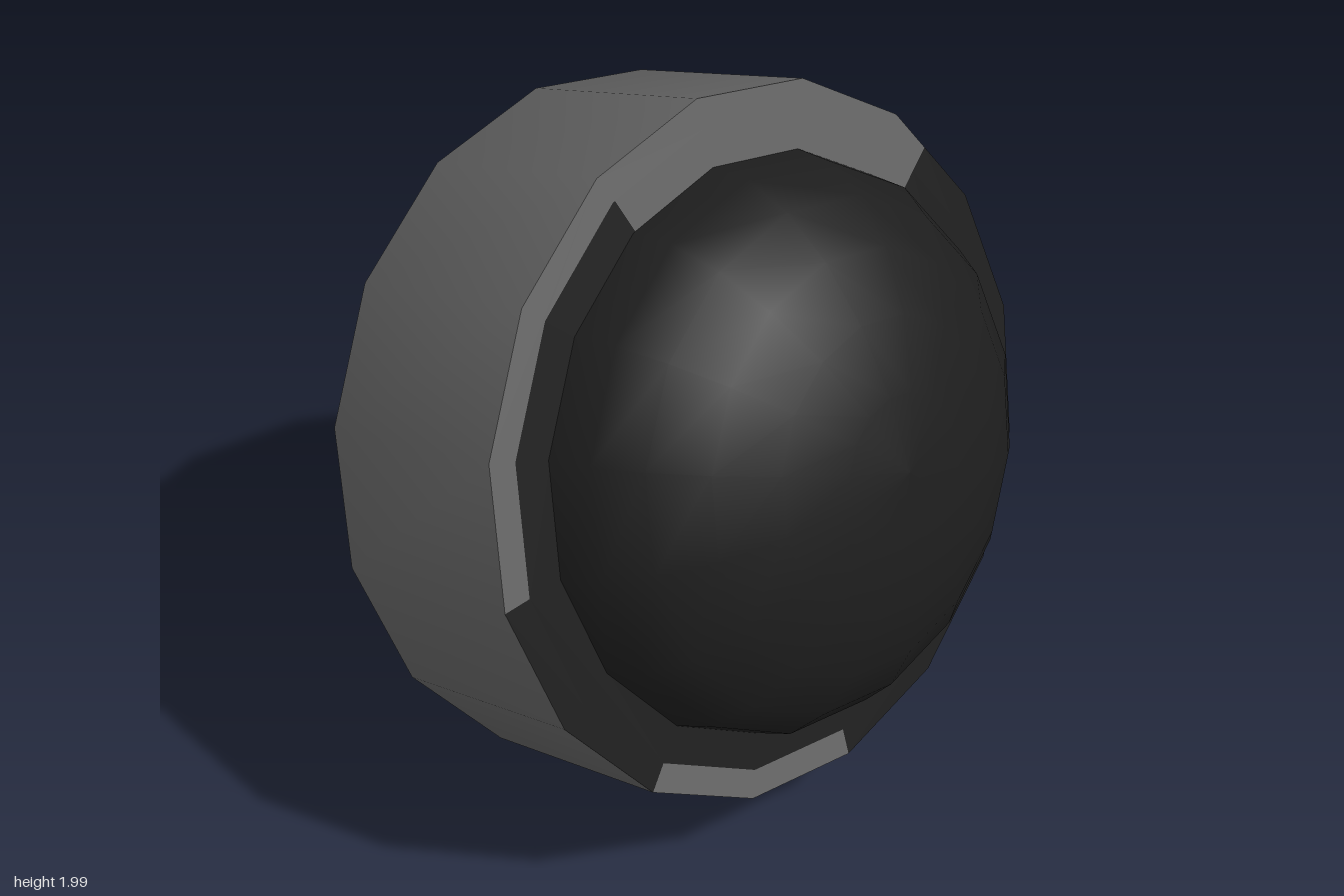
import * as THREE from 'three';

const SIDES = 16;
const STEP = (Math.PI * 2) / SIDES;
const RAD = Math.PI / 180;

export function createModel() {
  const grey = new THREE.MeshStandardMaterial({ color: 0x646464 });
  grey.name = 'casing grey';
  const dark = new THREE.MeshStandardMaterial({ color: 0x1d1d1d });
  dark.name = 'dark rubber';
  const teal = new THREE.MeshStandardMaterial({ color: 0x76b5ba });
  teal.name = 'soft teal';

  // Everything is built around the z axis, then tilted.
  const body = new THREE.Group();
  body.name = 'tiltedBody';

  // Turned part from [radius, distance along the axis] pairs.
  function turned(name, profile, material) {
    const points = profile.map(([r, a]) => new THREE.Vector2(r, a));
    const geometry = new THREE.LatheGeometry(points, SIDES);
    geometry.rotateX(Math.PI / 2);
    const mesh = new THREE.Mesh(geometry, material);
    mesh.name = name;
    body.add(mesh);
  }

  // Point on a sixteen-sided outline at any angle.
  function outline(r, angle) {
    const within = ((angle % STEP) + STEP) % STEP;
    const d = (r * Math.cos(STEP / 2)) / Math.cos(within - STEP / 2);
    return new THREE.Vector2(d * Math.cos(angle), d * Math.sin(angle));
  }

  // Flat arc of the front rim, angles in degrees.
  function rimArc(name, inner, outer, from, to, material) {
    const angles = [from * RAD];
    for (let k = Math.floor(from / 22.5) + 1; k * 22.5 < to; k++) angles.push(k * STEP);
    angles.push(to * RAD);
    const points = angles.map((t) => outline(outer, t));
    points.push(...angles.reverse().map((t) => outline(inner, t)));
    const mesh = new THREE.Mesh(new THREE.ShapeGeometry(new THREE.Shape(points)), material);
    mesh.position.z = 0.31;
    mesh.name = name;
    body.add(mesh);
  }

  // Casing, shaded smoothly round its back edge
  turned('casing', [[0.815, -0.37], [0.95, -0.31], [0.943, 0.31]], grey);

  // Back collar, recess wall and plate
  turned('backCollar', [[0.61, -0.447], [0.772, -0.447], [0.815, -0.37]], dark);
  turned('recessWall', [[0.51, -0.25], [0.61, -0.447]], dark);
  turned('backPlate', [[0, -0.25], [0.51, -0.25]], teal);

  // Front dome
  const dome = [];
  for (let i = 0; i <= 6; i++) {
    const t = (i / 6) * (Math.PI / 2);
    dome.push([i === 6 ? 0 : 0.765 * Math.cos(t), 0.31 + 0.46 * Math.sin(t)]);
  }
  turned('frontDome', dome, dark);

  // Front rim in two bands, split into grey and dark arcs
  const [R0, R1, R2] = [0.76, 0.865, 0.943];
  rimArc('innerRimGrey', R0, R1, 36, 112, grey);
  rimArc('innerRimDark', R0, R1, 112, 396, dark);
  rimArc('outerRimGreyTop', R1, R2, 36, 180, grey);
  rimArc('outerRimDarkSide', R1, R2, 180, 225, dark);
  rimArc('outerRimGreyBottom', R1, R2, 225, 270, grey);
  rimArc('outerRimDarkLower', R1, R2, 270, 396, dark);

  // Tilt upward and turn to the side
  body.rotation.set(-18 * RAD, 33 * RAD, 0, 'YXZ');
  body.position.y = 1;

  const model = new THREE.Group();
  model.name = 'model';
  model.add(body);
  return model;
}
